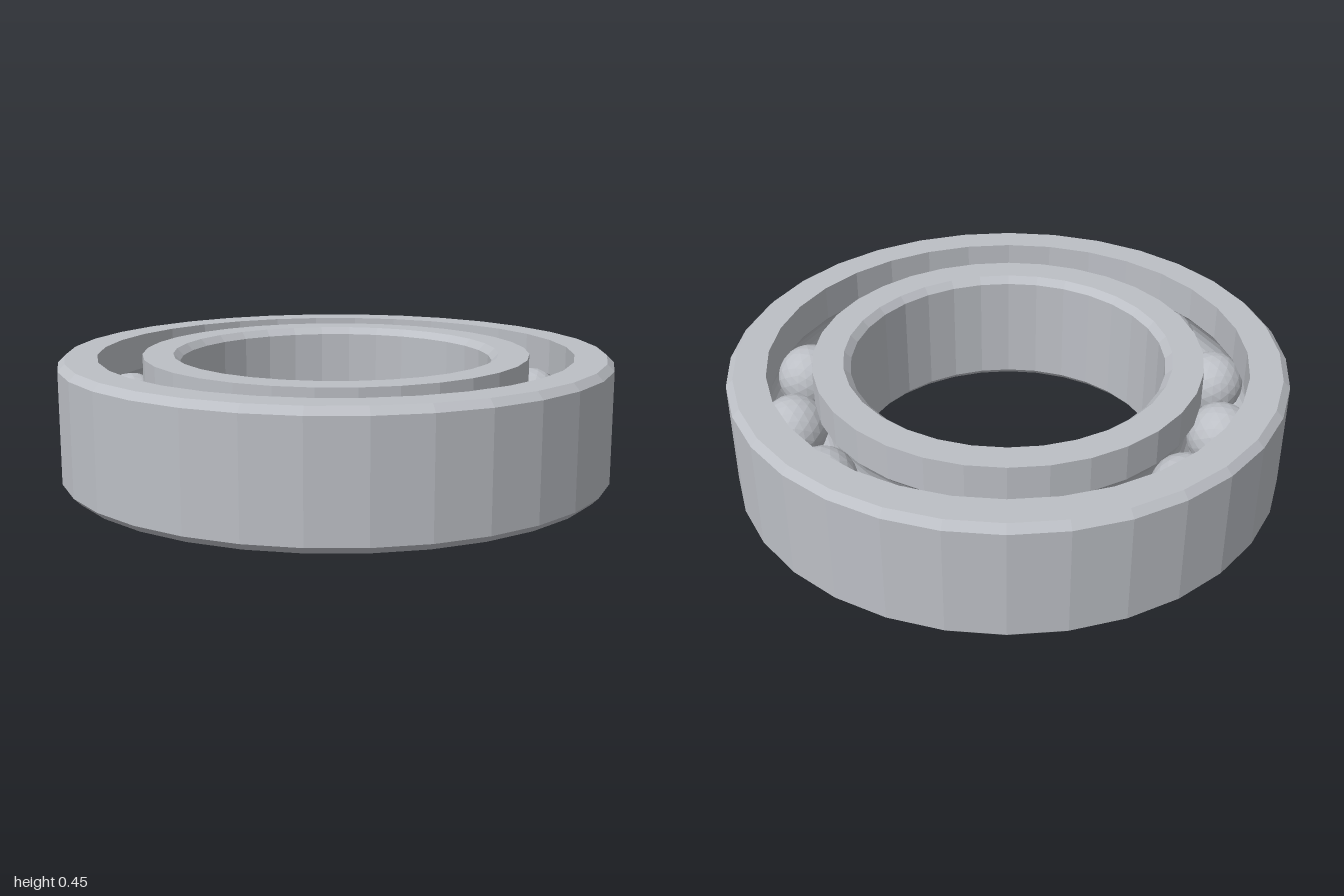
import * as THREE from 'three';

const HEIGHT = 0.45, MID = HEIGHT / 2, BEVEL = 0.025;
const PITCH = 0.78, BALL_RADIUS = 0.12, BALLS = 14, SIDES = 32;
const OUTER = 1, OUTER_LIP = 0.86, INNER_LIP = 0.7, BORE = 0.565;

// Arc of the ball raceway, cut into a lip 0.08 away from the pitch circle
function raceway(middle, direction) {
  const r = BALL_RADIUS + 0.002, half = Math.acos(0.08 / r), steps = 8;
  return Array.from({ length: steps + 1 }, (_, i) => {
    const a = middle + direction * half * ((2 * i) / steps - 1);
    return [PITCH + r * Math.cos(a), MID + r * Math.sin(a)];
  });
}

export function createModel() {
  const model = new THREE.Group();
  model.name = 'ballBearing';
  const steel = new THREE.MeshStandardMaterial({ color: 0xbcbfc5, flatShading: true });
  steel.name = 'steel grey';

  function addRing(name, profile) {
    const points = [...profile, profile[0]].map(([r, y]) => new THREE.Vector2(r, y));
    const ring = new THREE.Mesh(new THREE.LatheGeometry(points, SIDES), steel);
    ring.name = name;
    model.add(ring);
  }

  // Outer ring: bevelled outside, raceway inside
  addRing('outerRing', [
    [OUTER_LIP, 0], [OUTER - BEVEL, 0], [OUTER, BEVEL],
    [OUTER, HEIGHT - BEVEL], [OUTER - BEVEL, HEIGHT], [OUTER_LIP, HEIGHT],
    ...raceway(0, -1),
  ]);

  // Inner ring: raceway outside, bevelled bore
  addRing('innerRing', [
    [BORE + BEVEL, 0], [INNER_LIP, 0],
    ...raceway(Math.PI, -1),
    [INNER_LIP, HEIGHT], [BORE + BEVEL, HEIGHT],
    [BORE, HEIGHT - BEVEL], [BORE, BEVEL],
  ]);

  // Balls spaced evenly around the pitch circle
  const balls = new THREE.Group();
  balls.name = 'balls';
  const ballGeometry = new THREE.IcosahedronGeometry(BALL_RADIUS, 3);
  for (let i = 0; i < BALLS; i++) {
    const a = (i / BALLS) * Math.PI * 2;
    const ball = new THREE.Mesh(ballGeometry, steel);
    ball.name = 'ball';
    ball.position.set(PITCH * Math.cos(a), MID, PITCH * Math.sin(a));
    ball.rotation.y = -a;
    balls.add(ball);
  }
  model.add(balls);
  return model;
}
